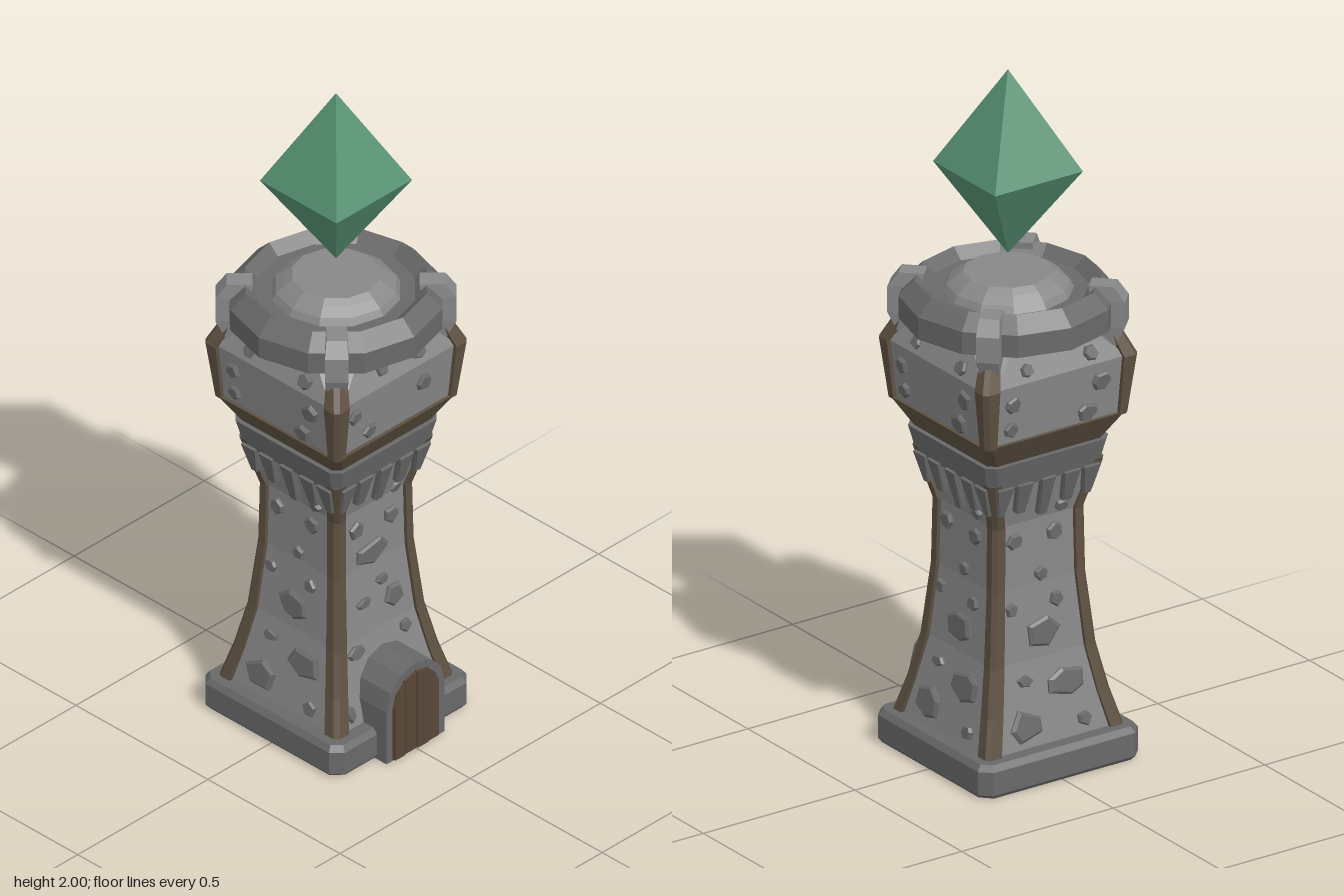
import * as THREE from 'three';

const mat = (name, color) => Object.assign(new THREE.MeshStandardMaterial({ color, flatShading: true }), { name });

// Flat-shaded skin over equal-length rings, listed bottom to top, counter-clockwise from above
function loft(rings, caps = true) {
  const v = [], n = rings[0].length;
  const tri = (a, b, c) => v.push(...a, ...b, ...c);
  for (let i = 0; i + 1 < rings.length; i++) for (let j = 0; j < n; j++) {
    const k = (j + 1) % n, a = rings[i], b = rings[i + 1];
    tri(a[j], a[k], b[k]);
    tri(a[j], b[k], b[j]);
  }
  if (caps) for (let j = 1; j + 1 < n; j++) {
    const b = rings[0], t = rings[rings.length - 1];
    tri(b[0], b[j + 1], b[j]);
    tri(t[0], t[j], t[j + 1]);
  }
  const g = new THREE.BufferGeometry();
  g.setAttribute('position', new THREE.Float32BufferAttribute(v, 3));
  g.computeVertexNormals();
  return g;
}

// Square ring of half size h with corners cut by c
const sq = (h, c, y) => [[h, c - h], [h, h - c], [h - c, h], [c - h, h], [-h, h - c], [-h, c - h], [c - h, -h], [h - c, -h]]
  .map(([x, z]) => [x, y, -z]);

// Corner-post ring: square of width w whose outer corner reaches (h, -h)
const post = (h, w, y, c = 0.012) => [[h - w, h - w], [h, h - w], [h, h - c], [h - c, h], [h - w, h]].map(([x, z]) => [x, y, -z]);

// Half width and slope of a wall at height y
function wallAt(profile, y) {
  let i = 0;
  while (i < profile.length - 2 && y > profile[i + 1][0]) i++;
  const [y0, d0] = profile[i], [y1, d1] = profile[i + 1], slope = (d1 - d0) / (y1 - y0);
  return [d0 + slope * (y - y0), slope];
}

const SHAFT = [[0.06, 0.222], [0.1, 0.214], [0.33, 0.164], [0.54, 0.143], [0.73, 0.14], [0.9, 0.186]];
const HEAD = [[1.02, 0.225], [1.19, 0.243], [1.28, 0.2]];

// Loose stones per wall: [across, height, half width, half height]
const STONES_A = [
  [-0.07, 0.67, 0.029, 0.027], [0.064, 0.66, 0.027, 0.027], [-0.01, 0.575, 0.06, 0.042], [0.074, 0.75, 0.021, 0.018],
  [-0.053, 0.43, 0.027, 0.015], [0.02, 0.475, 0.022, 0.016], [0.06, 0.405, 0.036, 0.034], [-0.1, 0.297, 0.033, 0.021],
  [0.09, 0.298, 0.022, 0.02], [-0.155, 0.14, 0.015, 0.026], [0.143, 0.15, 0.024, 0.018],
  [-0.053, 1.235, 0.025, 0.025], [0.085, 1.22, 0.026, 0.015], [-0.17, 1.14, 0.023, 0.025], [0.095, 1.125, 0.026, 0.026],
  [-0.11, 1.063, 0.026, 0.023]];
const STONES_B = [
  [-0.08, 0.68, 0.026, 0.025], [0.053, 0.68, 0.027, 0.025], [0.07, 0.755, 0.021, 0.018], [0.005, 0.567, 0.021, 0.02],
  [-0.095, 0.483, 0.021, 0.02], [0.053, 0.483, 0.022, 0.022], [0, 0.4, 0.056, 0.042], [-0.07, 0.277, 0.027, 0.016],
  [0.063, 0.248, 0.065, 0.042], [-0.085, 0.157, 0.055, 0.046], [0.106, 0.137, 0.023, 0.022],
  [-0.1, 1.22, 0.021, 0.02], [0.11, 1.22, 0.024, 0.022], [-0.153, 1.135, 0.024, 0.025], [0.138, 1.135, 0.03, 0.028],
  [-0.153, 1.06, 0.023, 0.022], [0.1, 1.05, 0.032, 0.028]];

export function createModel() {
  const root = new THREE.Group();
  root.name = 'crystalTower';
  const tower = new THREE.Group();
  tower.name = 'tower';
  tower.position.z = -0.008;
  root.add(tower);

  const stone = mat('wallStone', 0x888888), dark = mat('darkStone', 0x696969), wood = mat('timber', 0x5e5142);
  const plankMat = mat('doorWood', 0x574636), gapMat = mat('doorGap', 0x2c2520), green = mat('crystalGreen', 0x579273);
  const add = (name, geo, m, parent = tower) => {
    const mesh = new THREE.Mesh(geo, m);
    mesh.name = name;
    parent.add(mesh);
    return mesh;
  };
  let seed = 11;
  const rnd = () => (seed = (seed * 16807) % 2147483647) / 2147483647;

  // Hollow plinth
  add('plinth', loft([sq(0.225, 0.02, 0), sq(0.255, 0.03, 0), sq(0.264, 0.03, 0.012), sq(0.264, 0.03, 0.08),
    sq(0.252, 0.025, 0.097), sq(0.2, 0.02, 0.097), sq(0.225, 0.02, 0)], false), dark);

  // Walls, collar and flared band
  add('shaft', loft(SHAFT.map(([y, d]) => sq(d, 0.02, y))), stone);
  add('collar', loft([sq(0.185, 0.02, 0.86), sq(0.204, 0.025, 0.94)]), dark);
  add('flaredBand', loft([sq(0.19, 0.02, 0.94), sq(0.236, 0.02, 1.02)]), wood);
  add('head', loft([sq(0.225, 0.02, 1.02), sq(0.243, 0.025, 1.19), sq(0.2, 0.08, 1.28)]), stone);

  // Timber posts and ring clamps on the four corners
  const shaftPost = loft([[0.09, 0.229, 0.047], [0.2, 0.2, 0.044], [0.33, 0.174, 0.04], [0.54, 0.154, 0.036],
    [0.73, 0.151, 0.036], [0.88, 0.19, 0.036]].map(([y, h, w]) => post(h, w, y)));
  const headPost = loft([[1.015, 0.236, 0.034], [1.19, 0.255, 0.05], [1.265, 0.222, 0.04]].map(([y, h, w]) => post(h, w, y)));
  const box = (x0, x1, w, y) => [[x0, y, w], [x1, y, w], [x1, y, -w], [x0, y, -w]];
  const clamp = loft([box(0.23, 0.3, 0.025, 1.22), box(0.23, 0.325, 0.032, 1.275), box(0.23, 0.325, 0.032, 1.35),
    box(0.225, 0.295, 0.028, 1.392)]);
  for (let k = 0; k < 4; k++) {
    const corner = new THREE.Group();
    corner.name = 'corner' + (k + 1);
    corner.rotation.y = k * Math.PI / 2;
    tower.add(corner);
    add('shaftPost', shaftPost, wood, corner);
    add('headPost', headPost, wood, corner);
    add('ringClamp', clamp, stone, corner).rotation.y = Math.PI / 4;
  }

  // Crown ring and low dome, twelve-sided
  const lathe = pts => new THREE.LatheGeometry(pts.map(p => new THREE.Vector2(...p)), 12);
  add('crownRing', lathe([[0.19, 1.28], [0.297, 1.28], [0.297, 1.345], [0.253, 1.388], [0.22, 1.358], [0.17, 1.355]]), dark);
  add('dome', lathe([[0.182, 1.35], [0.168, 1.375], [0.142, 1.396], [0.122, 1.41], [0, 1.41]]), stone);

  // Floating crystal
  const ring = (h, y) => [[h, y, h], [h, y, -h], [-h, y, -h], [-h, y, h]];
  add('crystal', loft([ring(0.0005, 1.46), ring(0.145, 1.715), ring(0.0005, 2)]), green);

  // Stones and hanging teeth on each wall
  const pebble = (w, h) => {
    const n = 5 + Math.floor(rnd() * 2), start = rnd() * 6.28;
    const pts = Array.from({ length: n }, (_, i) => {
      const a = start + (i + 0.35 * (rnd() - 0.5)) / n * Math.PI * 2, r = 0.92 + 0.2 * rnd();
      return [Math.cos(a) * r * w, Math.sin(a) * r * h];
    });
    const at = (s, y) => pts.map(([x, z]) => [x * s, y, -z * s]);
    return loft([at(1, -0.008), at(1, 0.005), at(0.8, 0.012)]).rotateX(Math.PI / 2);
  };
  const tooth = (top, tip, len) => {
    const at = (s, y) => [[-tip * s, -len], [tip * s, -len], [top, 0], [-top, 0]].map(([x, z]) => [x, y, -z]);
    return loft([at(1, -0.01), at(1, 0.012), at(0.75, 0.018)]).rotateX(Math.PI / 2);
  };
  const teeth = [[-0.077, 0.025, 0.016, 0.095], [0, 0.022, 0.015, 0.12], [0.077, 0.025, 0.016, 0.095],
    [-0.142, 0.026, 0.012, 0.09], [0.142, 0.026, 0.012, 0.09]];
  for (let k = 0; k < 4; k++) {
    const wall = new THREE.Group();
    wall.name = ['front', 'left', 'back', 'right'][k] + 'WallDetails';
    wall.rotation.y = k * Math.PI / 2;
    tower.add(wall);
    const place = (mesh, x, y) => {
      const [d, slope] = wallAt(y < 1 ? SHAFT : HEAD, y);
      mesh.position.set(x, y, d);
      mesh.rotation.x = Math.atan(slope);
    };
    for (const [x, y, w, h] of k === 0 ? STONES_A : STONES_B) place(add('looseStone', pebble(w, h), dark, wall), x, y);
    for (const [x, top, tip, len] of teeth) place(add('collarTooth', tooth(top, tip, len), dark, wall), x, 0.87);
  }

  // Arched doorway
  const arch = (r, spring) => {
    const s = new THREE.Shape();
    s.moveTo(-r, 0).lineTo(r, 0).lineTo(r, spring);
    for (let i = 1; i <= 6; i++) s.lineTo(r * Math.cos(i * Math.PI / 6), spring + r * Math.sin(i * Math.PI / 6));
    return s;
  };
  const slab = (shape, z0, z1) => new THREE.ExtrudeGeometry(shape, { depth: z1 - z0, bevelEnabled: false }).translate(0, 0, z0);
  const door = new THREE.Group();
  door.name = 'doorway';
  tower.add(door);
  add('porch', slab(arch(0.111, 0.169), 0.12, 0.288), dark, door);
  const rim = arch(0.111, 0.169);
  rim.holes.push(new THREE.Path(arch(0.089, 0.165).getPoints()));
  add('doorFrame', slab(rim, 0.288, 0.301), dark, door);
  add('doorBack', slab(arch(0.089, 0.165), 0.288, 0.298), gapMat, door);

  // Planks cut to follow the arch
  const topAt = x => 0.165 + Math.sqrt(Math.max(0, 0.0865 ** 2 - x * x));
  for (let i = 0; i < 4; i++) {
    const a = -0.086 + i * 0.0435, b = a + 0.0395, s = new THREE.Shape();
    s.moveTo(a, 0.004).lineTo(b, 0.004).lineTo(b, topAt(b)).lineTo((a + b) / 2, topAt((a + b) / 2)).lineTo(a, topAt(a));
    add('doorPlank', slab(s, 0.298, 0.31 - (i % 2) * 0.003), plankMat, door);
  }
  return root;
}
